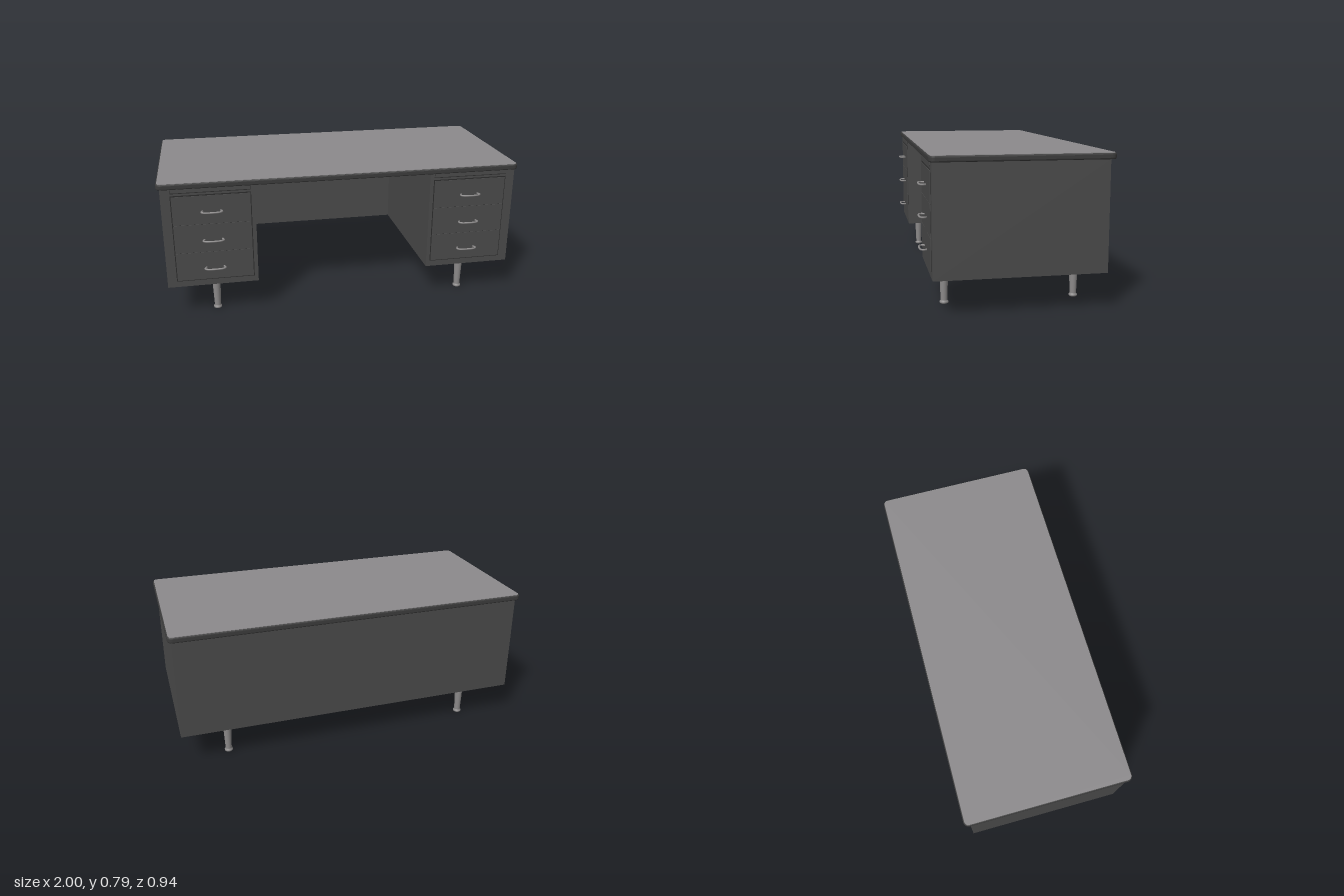
import * as THREE from 'three';

const material = (name, color) => {
  const m = new THREE.MeshStandardMaterial({ color });
  m.name = name;
  return m;
};

// Rounded rectangle outline, centred on the origin
function roundedRect(halfW, halfH, r) {
  const s = new THREE.Shape();
  s.absarc(halfW - r, halfH - r, r, 0, Math.PI / 2);
  s.absarc(-halfW + r, halfH - r, r, Math.PI / 2, Math.PI);
  s.absarc(-halfW + r, -halfH + r, r, Math.PI, Math.PI * 1.5);
  s.absarc(halfW - r, -halfH + r, r, Math.PI * 1.5, Math.PI * 2);
  s.closePath();
  return s;
}

export function createModel() {
  const body = material('dark grey steel', 0x4b4b4b);
  const gap = material('shadow gap', 0x2c2c2c);
  const edge = material('desktop edging', 0x3c3c3c);
  const laminate = material('grey laminate', 0x8c8a8c);
  const metal = material('brushed metal', 0x8c8a8a);

  const desk = new THREE.Group();
  desk.name = 'desk';

  const add = (parent, name, geometry, mat, x = 0, y = 0, z = 0) => {
    const mesh = new THREE.Mesh(geometry, mat);
    mesh.name = name;
    mesh.position.set(x, y, z);
    parent.add(mesh);
    return mesh;
  };
  // Box given by its limits on each axis
  const box = (parent, name, mat, x0, x1, y0, y1, z0, z1) =>
    add(parent, name, new THREE.BoxGeometry(x1 - x0, y1 - y0, z1 - z0), mat,
      (x0 + x1) / 2, (y0 + y1) / 2, (z0 + z1) / 2);

  // Desktop: bevelled edging with a laminate sheet on top
  const bevel = 0.008;
  const rim = new THREE.ExtrudeGeometry(roundedRect(1 - bevel, 0.457 - bevel, 0.022), {
    depth: 0.031 - 2 * bevel, bevelEnabled: true, bevelThickness: bevel,
    bevelSize: bevel, bevelSegments: 3, curveSegments: 6,
  });
  rim.rotateX(-Math.PI / 2);
  add(desk, 'desktopEdging', rim, edge, 0, 0.755 + bevel, -0.013);
  const sheet = new THREE.ExtrudeGeometry(roundedRect(0.994, 0.451, 0.024), {
    depth: 0.003, bevelEnabled: false, curveSegments: 6,
  });
  sheet.rotateX(-Math.PI / 2);
  add(desk, 'desktopSurface', sheet, laminate, 0, 0.785, -0.013);

  // Panel closing the back of the kneehole
  box(desk, 'modestyPanel', body, -0.487, 0.487, 0.19, 0.755, -0.44, -0.41);

  // Bow-shaped drawer pull
  const pullPath = new THREE.CatmullRomCurve3([
    [-0.048, 0], [-0.055, 0.02], [-0.043, 0.031], [-0.022, 0.035],
    [0.022, 0.035], [0.043, 0.031], [0.055, 0.02], [0.048, 0],
  ].map(([x, z]) => new THREE.Vector3(x, 0, z)));
  const pull = new THREE.TubeGeometry(pullPath, 32, 0.005, 8);

  // Tapered leg with a rounded foot
  const leg = new THREE.LatheGeometry([
    [0, 0], [0.018, 0], [0.023, 0.004], [0.023, 0.011], [0.018, 0.015],
    [0.0175, 0.02], [0.0235, 0.185],
  ].map(([r, y]) => new THREE.Vector2(r, y)), 24);

  for (const side of [-1, 1]) {
    const label = side > 0 ? 'left' : 'right';
    const pedestal = new THREE.Group();
    pedestal.name = label + 'Pedestal';
    desk.add(pedestal);
    const cx = side * 0.72;
    const x0 = cx - 0.207, x1 = cx + 0.207;

    const inner = side * 0.487, outer = side * 0.982;
    box(pedestal, 'cabinet', body, Math.min(inner, outer), Math.max(inner, outer),
      0.19, 0.755, -0.44, 0.43);

    // Pull-out writing shelf above the drawers
    box(pedestal, 'shelfGap', gap, x0 - 0.002, x1 + 0.002, 0.729, 0.754, 0.428, 0.4308);
    box(pedestal, 'pullOutShelf', body, x0, x1, 0.734, 0.754, 0.428, 0.434);

    // Three drawers with pulls, outlined by a thin dark gap
    box(pedestal, 'drawerGap', gap, x0 - 0.005, x1 + 0.005, 0.223, 0.718, 0.428, 0.4308);
    for (let i = 0; i < 3; i++) {
      const y = 0.228 + i * 0.162;
      box(pedestal, 'drawerFront', body, x0, x1, y, y + 0.16, 0.428, 0.434);
      add(pedestal, 'drawerPull', pull, metal, cx, 0.297 + i * 0.164, 0.433);
    }

    // Legs on square mounting plates
    for (const z of [-0.347, 0.345]) {
      add(pedestal, 'leg', leg, metal, cx, 0, z);
      box(pedestal, 'legPlate', edge, cx - 0.045, cx + 0.045, 0.184, 0.191, z - 0.045, z + 0.045);
    }
  }
  return desk;
}
